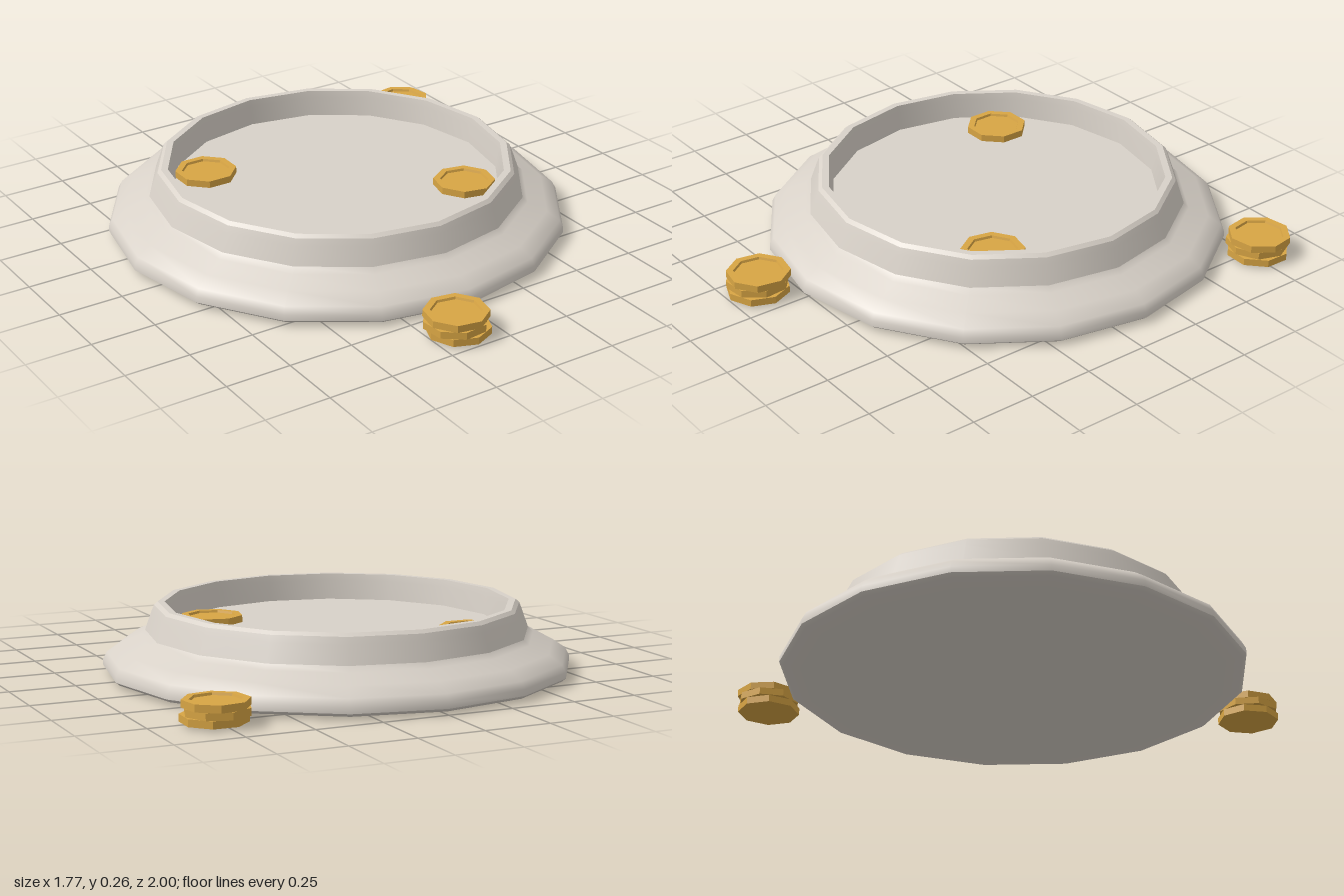
import * as THREE from 'three';

const dishMaterial = new THREE.MeshStandardMaterial({ color: 0xd8d1c8 });
dishMaterial.name = 'pale stone';
const coinMaterial = new THREE.MeshStandardMaterial({ color: 0xd8a544 });
coinMaterial.name = 'gold';

const lathe = (profile, sides) =>
  new THREE.LatheGeometry(profile.map(([r, y]) => new THREE.Vector2(r, y)), sides);

// Sixteen-sided dish; each section is smooth, with sharp edges between sections
function makeDish() {
  const sections = {
    underside: [[0, 0], [0.8, 0]],
    footBevel: [[0.8, 0], [0.87, 0.01], [0.885, 0.022]],
    flaredBase: [[0.885, 0.022], [0.884, 0.045], [0.87, 0.072], [0.82, 0.106], [0.745, 0.135], [0.725, 0.155]],
    collar: [[0.725, 0.155], [0.7, 0.225], [0.69, 0.25]],
    rimBevel: [[0.69, 0.25], [0.676, 0.262]],
    rimTop: [[0.676, 0.262], [0.65, 0.262]],
    innerWall: [[0.65, 0.262], [0.645, 0.235], [0.635, 0.16]],
    floor: [[0.635, 0.16], [0, 0.16]],
  };
  const dish = new THREE.Group();
  dish.name = 'dish';
  for (const [name, profile] of Object.entries(sections)) {
    const mesh = new THREE.Mesh(lathe(profile, 16), dishMaterial);
    mesh.name = name;
    dish.add(mesh);
  }
  dish.position.z = -0.115;
  return dish;
}

// Eight-sided coin with a raised border and a recessed face on top
function makeCoinGeometry() {
  const r = 0.119, h = 0.027, inner = 0.093, recess = h - 0.009;
  const geometry = lathe(
    [[0, 0], [r, 0], [r, h], [inner, h], [inner - 0.003, recess], [0, recess]], 8
  ).toNonIndexed();
  geometry.computeVertexNormals();
  return geometry;
}

export function createModel() {
  const model = new THREE.Group();
  model.name = 'coinDish';
  model.add(makeDish());

  const coinGeometry = makeCoinGeometry();
  const addCoin = (name, x, y, z, turn) => {
    const coin = new THREE.Mesh(coinGeometry, coinMaterial);
    coin.name = name;
    coin.position.set(x, y, z);
    coin.rotation.y = turn;
    model.add(coin);
  };

  // Loose coins lying in the dish
  addCoin('backDishCoin', -0.4, 0.16, -0.43, Math.PI / 8);
  addCoin('frontDishCoin', 0.385, 0.16, 0.195, 0.17);

  // Two uneven stacks of three coins on the ground
  const offsets = [[0.004, 0.004], [-0.006, -0.002], [0, -0.004]];
  const stacks = [['frontStackCoin', -0.143, 0.877, 0.2], ['backStackCoin', 0.767, -0.782, 0.55]];
  for (const [name, x, z, turn] of stacks) {
    offsets.forEach(([dx, dz], i) =>
      addCoin(name + (i + 1), x + dx, 0.008 + i * 0.027, z + dz, turn + (2 - i) * 0.3));
  }
  return model;
}
